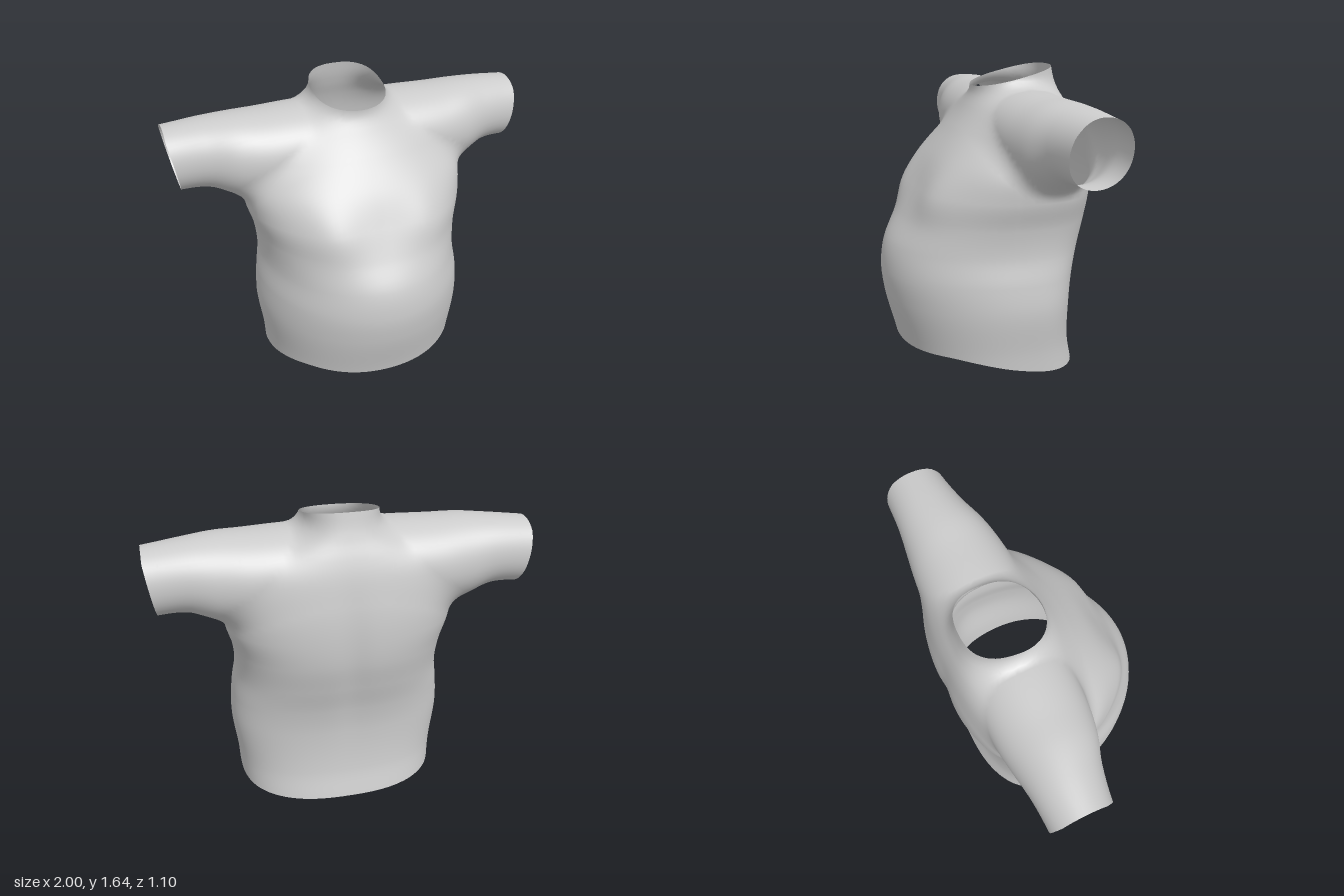
import * as THREE from 'three';

// Smooth interpolation through rows of [position, ...values]
function table(rows) {
  const n = rows[0].length - 1;
  const curve = new THREE.CubicInterpolant(
    rows.map(r => r[0]), rows.flatMap(r => r.slice(1)), n, new Float32Array(n));
  return t => curve.evaluate(t);
}

// Body by height: half width, front z, back z, z of widest point, front roundness
const body = table([
  [0, 0.55, 0.44, -0.49, -0.1, 2.1],
  [0.15, 0.56, 0.475, -0.455, -0.1, 2.1],
  [0.4, 0.59, 0.54, -0.445, -0.1, 2],
  [0.55, 0.58, 0.555, -0.465, -0.1, 2],
  [0.7, 0.558, 0.53, -0.505, -0.11, 2],
  [0.85, 0.57, 0.445, -0.54, -0.12, 2.1],
  [1, 0.61, 0.365, -0.55, -0.14, 2.2],
  [1.15, 0.61, 0.28, -0.54, -0.16, 2.2],
  [1.3, 0.5, 0.165, -0.51, -0.18, 2.1],
  [1.42, 0.36, 0.075, -0.475, -0.19, 2],
  [1.5, 0.25, 0.035, -0.445, -0.19, 2],
  [1.56, 0.205, 0.035, -0.425, -0.19, 2],
  [1.65, 0.195, 0.04, -0.405, -0.19, 2],
]);

// Sleeve by distance from the middle: top, bottom, front z, back z
const sleeve = table([
  [0, 1.52, 1.08, 0.07, -0.47],
  [0.3, 1.52, 1.06, 0.06, -0.47],
  [0.5, 1.515, 1.05, 0.045, -0.46],
  [0.65, 1.515, 1.07, 0.015, -0.44],
  [0.8, 1.505, 1.13, -0.04, -0.42],
  [1, 1.485, 1.13, -0.08, -0.41],
  [1.1, 1.475, 1.13, -0.085, -0.41],
]);

// Hem height by depth
const hem = table([[-0.49, 0], [-0.2, 0.04], [0, 0.08], [0.2, 0.125], [0.3, 0.14], [0.48, 0.13]]);
const cuffX = y => 1 - 0.18 * Math.max(0, 1.44 - y);
const neckY = z => 1.54 - 0.235 * z;

const oval = (a, b, n) => Math.pow(Math.abs(a) ** n + Math.abs(b) ** n, 1 / n) - 1;
const bump = (dx, dy, size) => Math.exp(-(dx * dx + dy * dy) / (size * size));

// Negative inside the shirt, positive outside
function field(x, y, z) {
  const ax = Math.abs(x);
  const [w, front, back, mid, round] = body(y);
  const ahead = z > mid;
  let torso = 0.4 * oval(x / w, (z - mid) / (ahead ? front - mid : mid - back), ahead ? round : 2.5);
  // soft chest, and a shallow groove along the spine
  if (z > 0) torso -= 0.025 * bump(ax - 0.28, y - 1, 0.15);
  if (z < -0.3) torso += 0.014 * bump(x, (y - 0.85) * 0.2, 0.08) * Math.min(1, (-0.3 - z) * 8);
  const [top, bottom, zf, zb] = sleeve(ax);
  const arm = 0.2 * oval((y - (top + bottom) / 2) * 2 / (top - bottom), (z * 2 - zf - zb) / (zf - zb), 2.1);
  // blend the sleeves into the body
  const k = 0.06, h = Math.max(k - Math.abs(torso - arm), 0) / k;
  return Math.min(torso, arm) - h * h * k / 4;
}

function gradient(p, out) {
  const e = 0.004;
  return out.set(
    field(p.x + e, p.y, p.z) - field(p.x - e, p.y, p.z),
    field(p.x, p.y + e, p.z) - field(p.x, p.y - e, p.z),
    field(p.x, p.y, p.z + e) - field(p.x, p.y, p.z - e)).divideScalar(2 * e);
}

const beyond = p => Math.abs(p.x) > cuffX(p.y) || p.y > neckY(p.z) || p.y < hem(p.z)[0];

// Hold a point within the cuffs, the neckline and the hem
function trim(p) {
  const c = cuffX(p.y);
  p.x = THREE.MathUtils.clamp(p.x, -c, c);
  p.y = Math.max(hem(p.z)[0], Math.min(p.y, neckY(p.z)));
}

// Net of quads over the blended form, left open at its four ends
function shirtGeometry() {
  const s = 0.03, nx = 76, ny = 64, nz = 48;
  const at = (i, j, k) => (k * ny + j) * nx + i;
  const x0 = -s * (nx - 1) / 2, y0 = -0.1, z0 = -s * (nz - 1) / 2;
  const values = new Float32Array(nx * ny * nz);
  for (let k = 0; k < nz; k++) for (let j = 0; j < ny; j++) for (let i = 0; i < nx; i++)
    values[at(i, j, k)] = field(x0 + i * s, y0 + j * s, z0 + k * s);

  // one point in every cell that the surface crosses
  const points = [], cut = [], normals = [], cell = new Map();
  const g = new THREE.Vector3();
  const settle = p => {
    gradient(p, g);
    p.addScaledVector(g, -field(p.x, p.y, p.z) / Math.max(g.lengthSq(), 0.05));
  };
  for (let k = 0; k < nz - 1; k++) for (let j = 0; j < ny - 1; j++) for (let i = 0; i < nx - 1; i++) {
    const p = new THREE.Vector3();
    let count = 0;
    for (let c = 0; c < 8; c++) for (let axis = 0; axis < 3; axis++) {
      if (c >> axis & 1) continue;
      const d = c | 1 << axis;
      const a = values[at(i + (c & 1), j + (c >> 1 & 1), k + (c >> 2))];
      const b = values[at(i + (d & 1), j + (d >> 1 & 1), k + (d >> 2))];
      if (a < 0 === b < 0) continue;
      const q = [c & 1, c >> 1 & 1, c >> 2];
      q[axis] = a / (a - b);
      p.add(g.fromArray(q));
      count++;
    }
    if (!count) continue;
    p.multiplyScalar(s / count).add(g.set(x0 + i * s, y0 + j * s, z0 + k * s));
    settle(p);
    cut.push(beyond(p));
    for (let n = 0; n < 3; n++) { trim(p); settle(p); }
    trim(p);
    cell.set(at(i, j, k), points.length);
    points.push(p);
    normals.push(gradient(p, new THREE.Vector3()).normalize());
  }

  // join the four cells around every crossed grid edge
  const index = [], u = new THREE.Vector3(), v = new THREE.Vector3();
  const triangle = (a, b, c) => {
    if (cut[a] && cut[b] && cut[c]) return;
    u.subVectors(points[b], points[a]);
    v.subVectors(points[c], points[a]);
    g.copy(normals[a]).add(normals[b]).add(normals[c]);
    if (u.cross(v).dot(g) < 0) index.push(a, c, b);
    else index.push(a, b, c);
  };
  const step = [at(1, 0, 0), at(0, 1, 0), at(0, 0, 1)];
  for (const id of cell.keys()) for (let axis = 0; axis < 3; axis++) {
    if (values[id] < 0 === values[id + step[axis]] < 0) continue;
    const m = step[(axis + 1) % 3], n = step[(axis + 2) % 3];
    const [a, b, c, d] = [id, id - m, id - m - n, id - n].map(q => cell.get(q));
    if ([a, b, c, d].includes(undefined)) continue;
    triangle(a, b, c);
    triangle(a, c, d);
  }

  const geometry = new THREE.BufferGeometry().setFromPoints(points);
  geometry.setAttribute('normal', new THREE.Float32BufferAttribute(normals.flatMap(n => n.toArray()), 3));
  geometry.setIndex(index);
  // keep only the points in use
  return geometry.toNonIndexed();
}

export function createModel() {
  const group = new THREE.Group();
  group.name = 'shirt';
  const material = new THREE.MeshStandardMaterial({ color: 0xcccccc, side: THREE.DoubleSide });
  const shirt = new THREE.Mesh(shirtGeometry(), material);
  shirt.name = 'bodyAndSleeves';
  group.add(shirt);
  return group;
}
